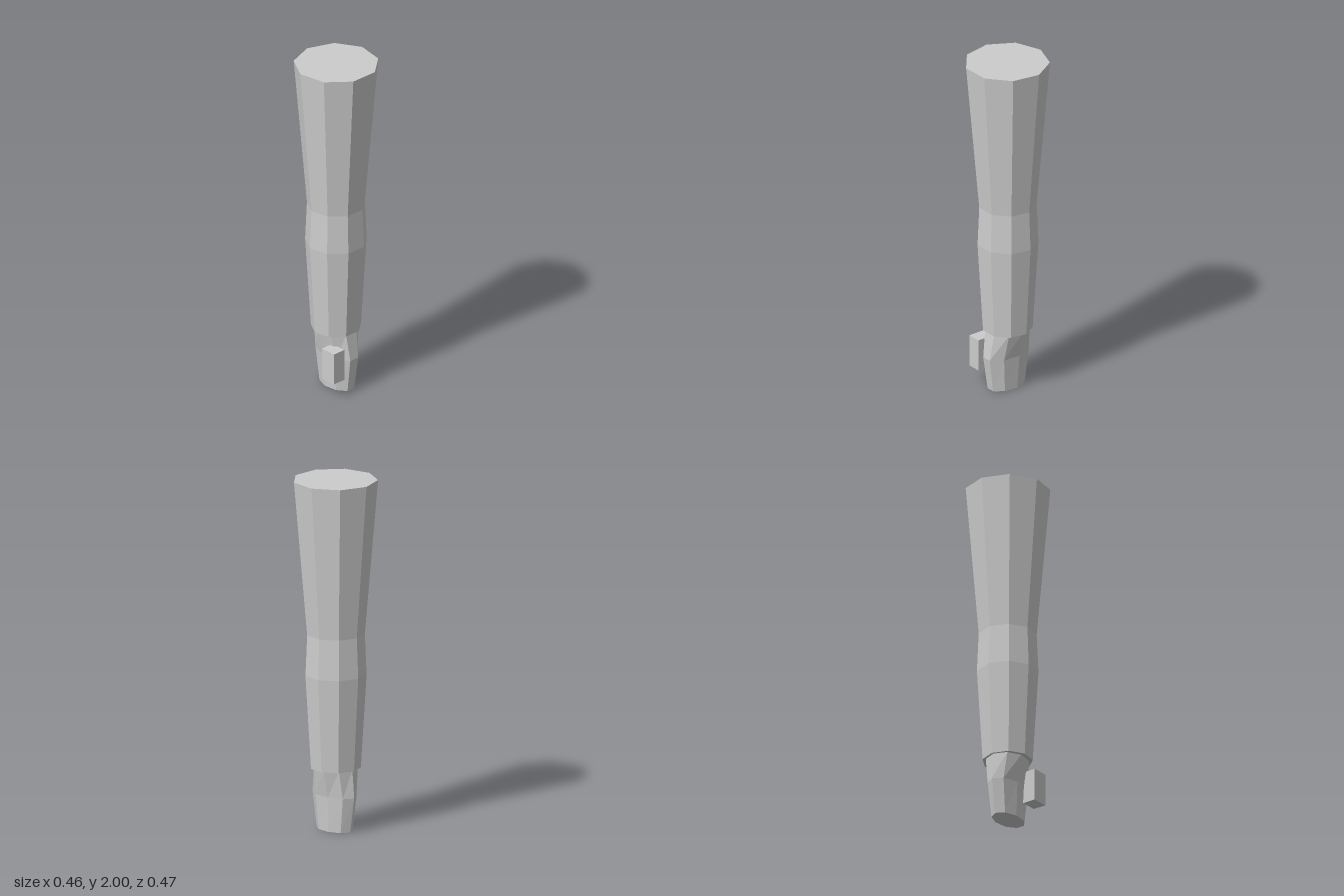
import * as THREE from 'three';

const SIDES = 9;

// Capped tube through elliptical nine-sided rings, listed bottom to top: [y, centreX, radiusX, radiusZ]
function loft(rings) {
  const pos = [];
  const point = ([y, cx, rx, rz], i) => {
    const a = Math.PI + (i / SIDES) * Math.PI * 2;
    return [cx + rx * Math.cos(a), y, rz * Math.sin(a)];
  };
  const tri = (...corners) => corners.forEach((c) => pos.push(...c));
  const first = rings[0];
  const last = rings[rings.length - 1];
  for (let i = 0; i < SIDES; i++) {
    for (let k = 0; k < rings.length - 1; k++) {
      const a = point(rings[k], i), b = point(rings[k], i + 1);
      const c = point(rings[k + 1], i + 1), d = point(rings[k + 1], i);
      tri(a, d, b);
      tri(b, d, c);
    }
    tri([first[1], first[0], 0], point(first, i), point(first, i + 1));
    tri([last[1], last[0], 0], point(last, i + 1), point(last, i));
  }
  const geometry = new THREE.BufferGeometry();
  geometry.setAttribute('position', new THREE.Float32BufferAttribute(pos, 3));
  geometry.computeVertexNormals();
  return geometry;
}

export function createModel() {
  const model = new THREE.Group();
  model.name = 'arm';
  const grey = new THREE.MeshStandardMaterial({ color: 0xcccccc, flatShading: true });
  grey.name = 'light grey';

  const add = (name, geometry) => {
    const mesh = new THREE.Mesh(geometry, grey);
    mesh.name = name;
    model.add(mesh);
    return mesh;
  };

  // Forearm, elbow bulge and upper arm in one sleeve
  add('sleeve', loft([
    [0.355, 0.004, 0.141, 0.141],
    [0.89, 0.004, 0.173, 0.173],
    [1.12, 0.004, 0.163, 0.163],
    [2, 0.006, 0.238, 0.238],
  ]));

  // Flattened hand, widest at the knuckles
  add('hand', loft([
    [0, 0.011, 0.119, 0.074],
    [0.2, 0.01, 0.149, 0.086],
    [0.36, 0.005, 0.13, 0.118],
  ]));

  // Blocky thumb at the front
  add('thumb', new THREE.BoxGeometry(0.097, 0.187, 0.08)).position.set(0.101, 0.192, 0.113);

  return model;
}
